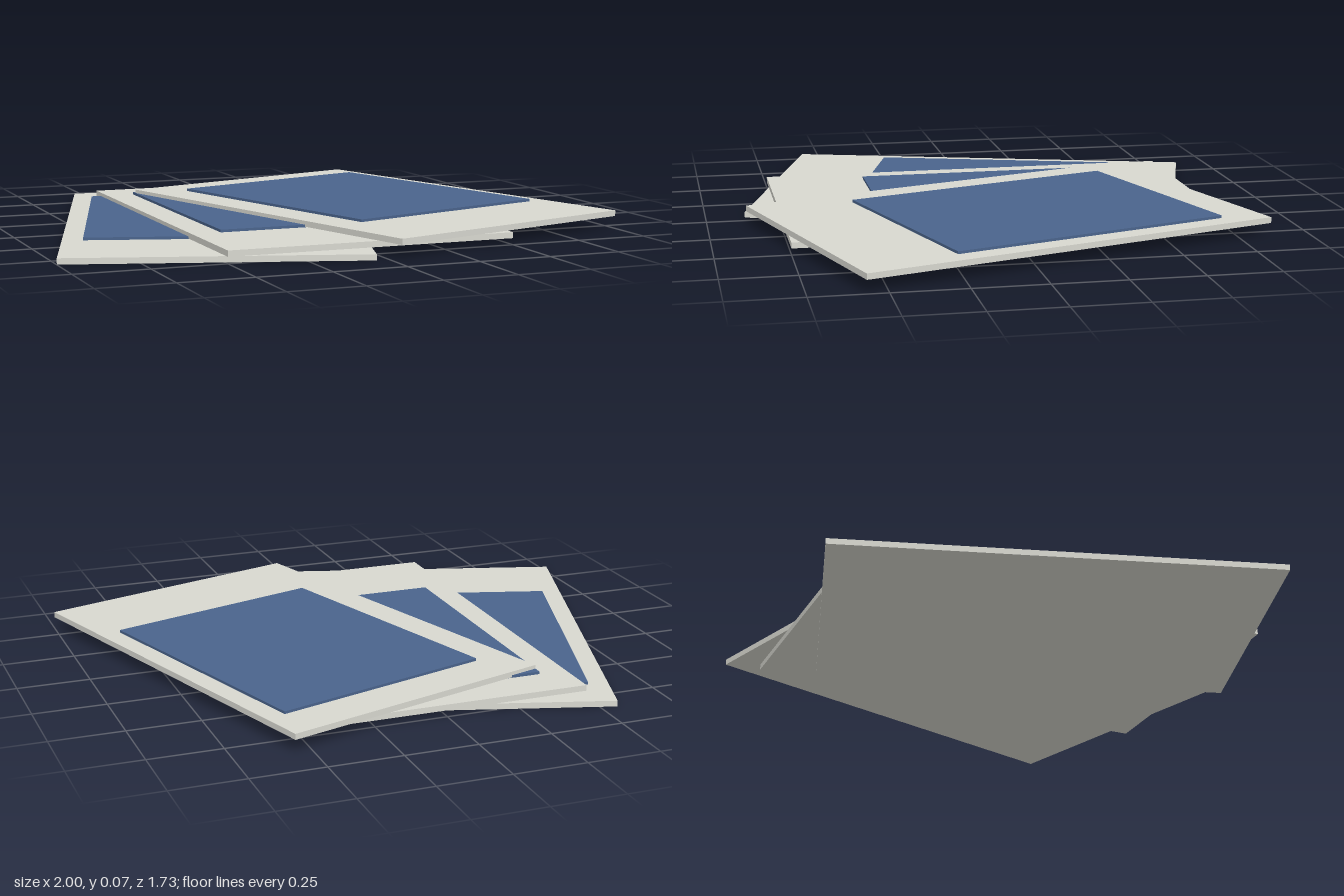
import * as THREE from 'three';

const CARD = { width: 1, depth: 1.5, thickness: 0.02 };
const PICTURE = { width: 0.8, depth: 1, thickness: 0.01, offsetZ: -0.1 };
const LAYER_STEP = 0.022;

export function createModel() {
  const model = new THREE.Group();
  model.name = 'fannedPhotos';

  const paper = new THREE.MeshStandardMaterial({ color: 0xd8d8d0 });
  const image = new THREE.MeshStandardMaterial({ color: 0x4a648c });
  const cardGeometry = new THREE.BoxGeometry(CARD.width, CARD.thickness, CARD.depth);
  const pictureGeometry = new THREE.BoxGeometry(PICTURE.width, PICTURE.thickness, PICTURE.depth);

  // Three prints stacked from bottom to top, fanned from right to left
  ['bottom', 'middle', 'top'].forEach((layer, i) => {
    const side = i - 1;
    const photo = new THREE.Group();
    photo.name = `${layer}Photo`;
    photo.position.set(side * 0.3, i * LAYER_STEP, 0);

    // White-bordered card
    const card = new THREE.Mesh(cardGeometry, paper);
    card.name = `${layer}Card`;
    card.position.y = CARD.thickness / 2;
    card.rotation.y = side * 0.3;

    // Picture panel, raised slightly above the card
    const picture = new THREE.Mesh(pictureGeometry, image);
    picture.name = `${layer}Picture`;
    picture.position.set(0, CARD.thickness + 0.004, PICTURE.offsetZ);
    picture.rotation.y = side * 0.3;

    photo.add(card, picture);
    model.add(photo);
  });

  return model;
}
